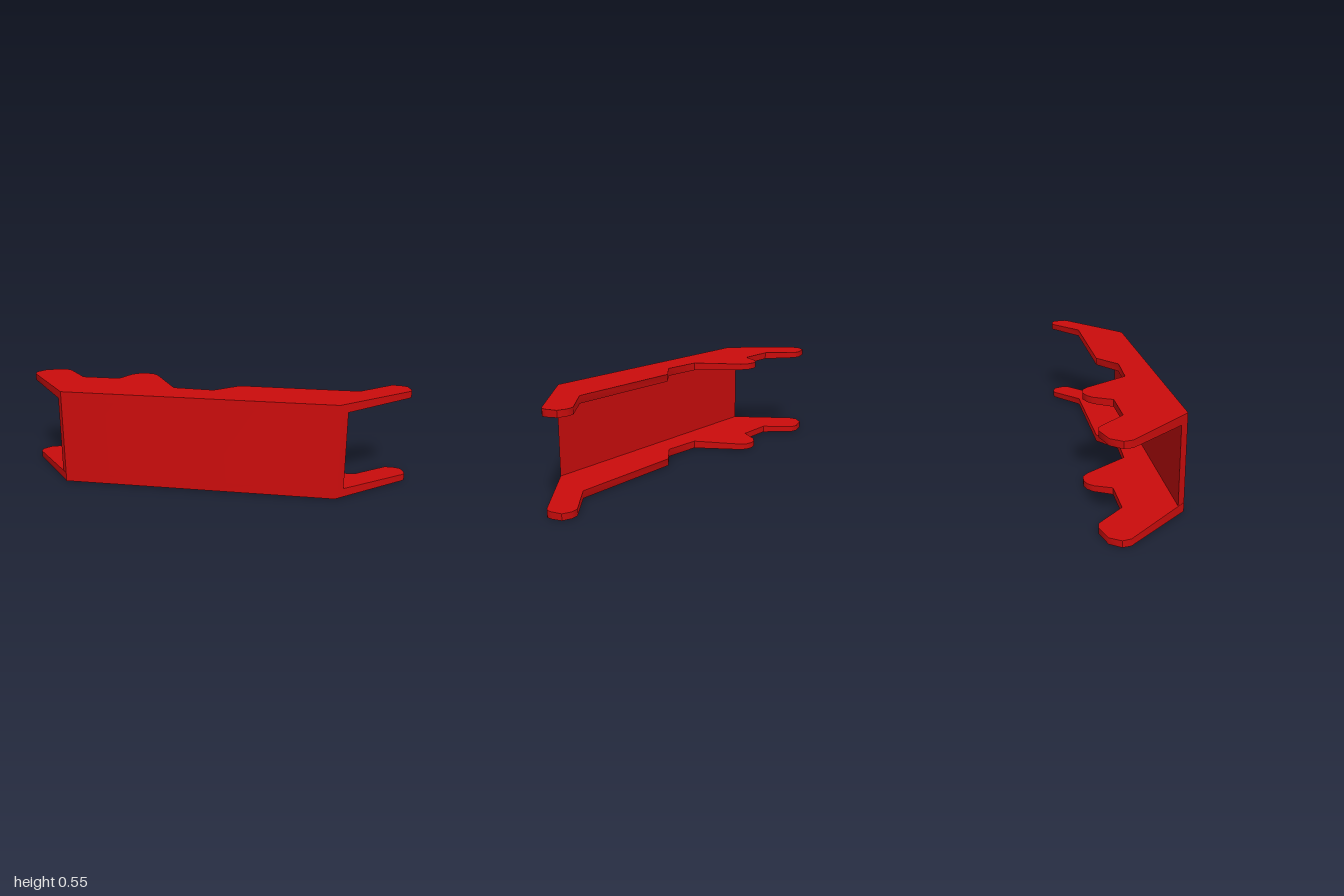
import * as THREE from 'three';
import { toCreasedNormals } from 'three/addons/utils/BufferGeometryUtils.js';

const HEIGHT = 0.545;

// Plan outline of a flange as [x, z]: web edge, right arm, middle lobe, left arm
const FLANGE = [
  [-0.565, 0.635], [0.805, -0.09],
  [0.997, -0.555], [1.0, -0.575], [0.985, -0.6], [0.945, -0.64], [0.895, -0.633], [0.86, -0.61], [0.77, -0.39],
  [0.17, -0.07], [0.1, 0.09], [-0.11, 0.188],
  [-0.355, 0.044], [-0.4, 0.033], [-0.45, 0.052], [-0.48, 0.085], [-0.495, 0.125], [-0.495, 0.235],
  [-0.69, 0.34], [-0.855, 0.278], [-0.875, 0.273], [-0.915, 0.286], [-0.99, 0.36], [-1, 0.43], [-0.972, 0.467],
];

// The upright web follows the long edge between the flanges
const WEB = [[-0.565, 0.635], [0.805, -0.09], [0.828, -0.145], [-0.612, 0.614]];

// Flange thickness tapers with distance from the web
function thickness(x, z) {
  const d = -0.467 * (x + 0.565) - 0.885 * (z - 0.635);
  return 0.0515 - 0.037 * d;
}

// Extrudes a plan outline upwards between two height rules
function slab(name, outline, bottom, top, material) {
  const shape = new THREE.Shape(outline.map(([x, z]) => new THREE.Vector2(x, -z)));
  const geo = new THREE.ExtrudeGeometry(shape, { depth: 1, bevelEnabled: false });
  geo.rotateX(-Math.PI / 2);
  const p = geo.attributes.position;
  for (let i = 0; i < p.count; i++) {
    const rule = p.getY(i) > 0.5 ? top : bottom;
    p.setY(i, rule(p.getX(i), p.getZ(i)));
  }
  const mesh = new THREE.Mesh(toCreasedNormals(geo, 0.75), material);
  mesh.name = name;
  return mesh;
}

export function createModel() {
  const group = new THREE.Group();
  group.name = 'channelBracket';
  const red = new THREE.MeshStandardMaterial({ color: 0xcc0c0c });
  const floor = () => 0;
  const ceiling = () => HEIGHT;
  const innerLow = thickness;
  const innerHigh = (x, z) => HEIGHT - thickness(x, z);

  group.add(
    slab('lowerFlange', FLANGE, floor, innerLow, red),
    slab('upperFlange', FLANGE, innerHigh, ceiling, red),
    slab('web', WEB, innerLow, innerHigh, red),
  );
  return group;
}
